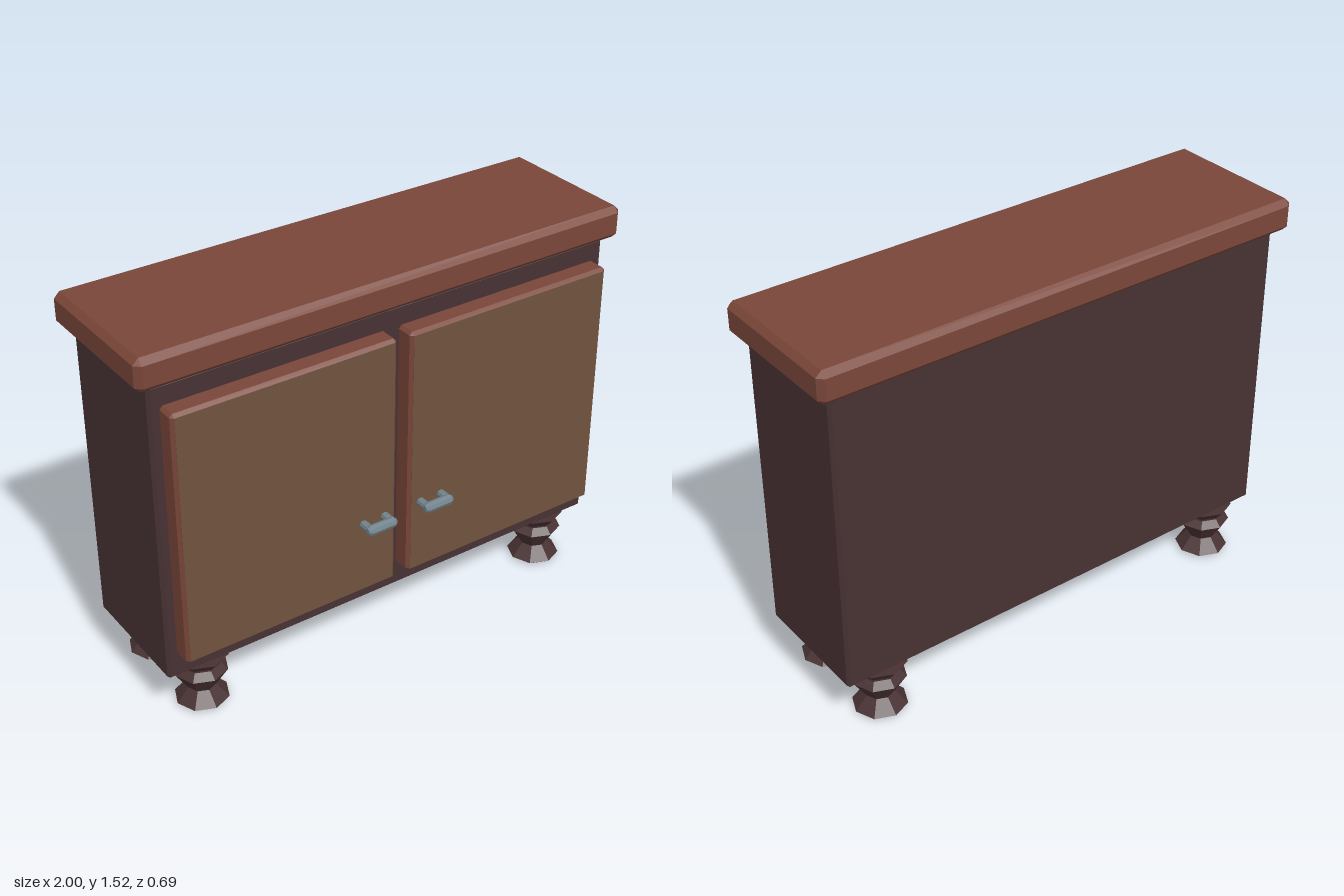
import * as THREE from 'three';
import { ConvexGeometry } from 'three/addons/geometries/ConvexGeometry.js';

const material = (name, color) => {
  const m = new THREE.MeshStandardMaterial({ color, flatShading: true });
  m.name = name;
  return m;
};

// Box with every edge cut by a single flat chamfer.
function chamferBox(w, h, d, c) {
  const points = [];
  for (const x of [-1, 1]) for (const y of [-1, 1]) for (const z of [-1, 1]) {
    for (let axis = 0; axis < 3; axis++) {
      const p = [w / 2 - c, h / 2 - c, d / 2 - c];
      p[axis] += c;
      points.push(new THREE.Vector3(x * p[0], y * p[1], z * p[2]));
    }
  }
  return new ConvexGeometry(points);
}

const lathe = (profile, sides) =>
  new THREE.LatheGeometry(profile.map(([r, y]) => new THREE.Vector2(r, y)), sides);

export function createModel() {
  const model = new THREE.Group();
  model.name = 'cabinet';
  const redWood = material('red wood', 0x7a4639);
  const darkWood = material('dark wood', 0x483133);
  const panelWood = material('panel wood', 0x71523d);
  const metal = material('grey metal', 0x71828b);

  const add = (name, geometry, mat, x, y, z, parent = model) => {
    const mesh = new THREE.Mesh(geometry, mat);
    mesh.name = name;
    mesh.position.set(x, y, z);
    parent.add(mesh);
    return mesh;
  };

  // Carcass and overhanging top
  add('body', chamferBox(1.9, 1.195, 0.505, 0.012), darkWood, 0, 0.8025, -0.0525);
  add('top', chamferBox(2, 0.125, 0.585, 0.022), redWood, 0, 1.4625, -0.0545);

  // Turned feet
  const foot = lathe([[0, 0], [0.09, 0], [0.103, 0.01], [0.055, 0.062],
    [0.103, 0.138], [0.078, 0.165], [0.078, 0.172], [0.108, 0.208], [0, 0.208]], 8);
  for (const x of [-0.78, 0.78]) {
    add('frontFoot', foot, darkWood, x, 0, 0.12);
    add('backFoot', foot, darkWood, x, 0, -0.228);
  }

  // Doors with face panels and pull handles
  const door = chamferBox(0.882, 1.012, 0.09, 0.012);
  const panel = new THREE.BoxGeometry(0.858, 0.988, 0.004);
  const bar = lathe([[0, -0.0615], [0.012, -0.0615], [0.02, -0.05],
    [0.02, 0.05], [0.012, 0.0615], [0, 0.0615]], 8);
  bar.rotateZ(Math.PI / 2);
  const post = new THREE.CylinderGeometry(0.016, 0.016, 0.06, 8).rotateX(Math.PI / 2);
  for (const side of [-1, 1]) {
    const name = side > 0 ? 'left' : 'right';
    add(name + 'Door', door, redWood, side * 0.469, 0.812, 0.229);
    add(name + 'DoorPanel', panel, panelWood, side * 0.469, 0.812, 0.273);

    const handle = new THREE.Group();
    handle.name = name + 'Handle';
    handle.position.set(side * 0.126, 0.608, 0);
    add('handleBar', bar, metal, 0, 0, 0.324, handle);
    for (const x of [-0.046, 0.046]) add('handlePost', post, metal, x, 0, 0.298, handle);
    model.add(handle);
  }
  return model;
}
